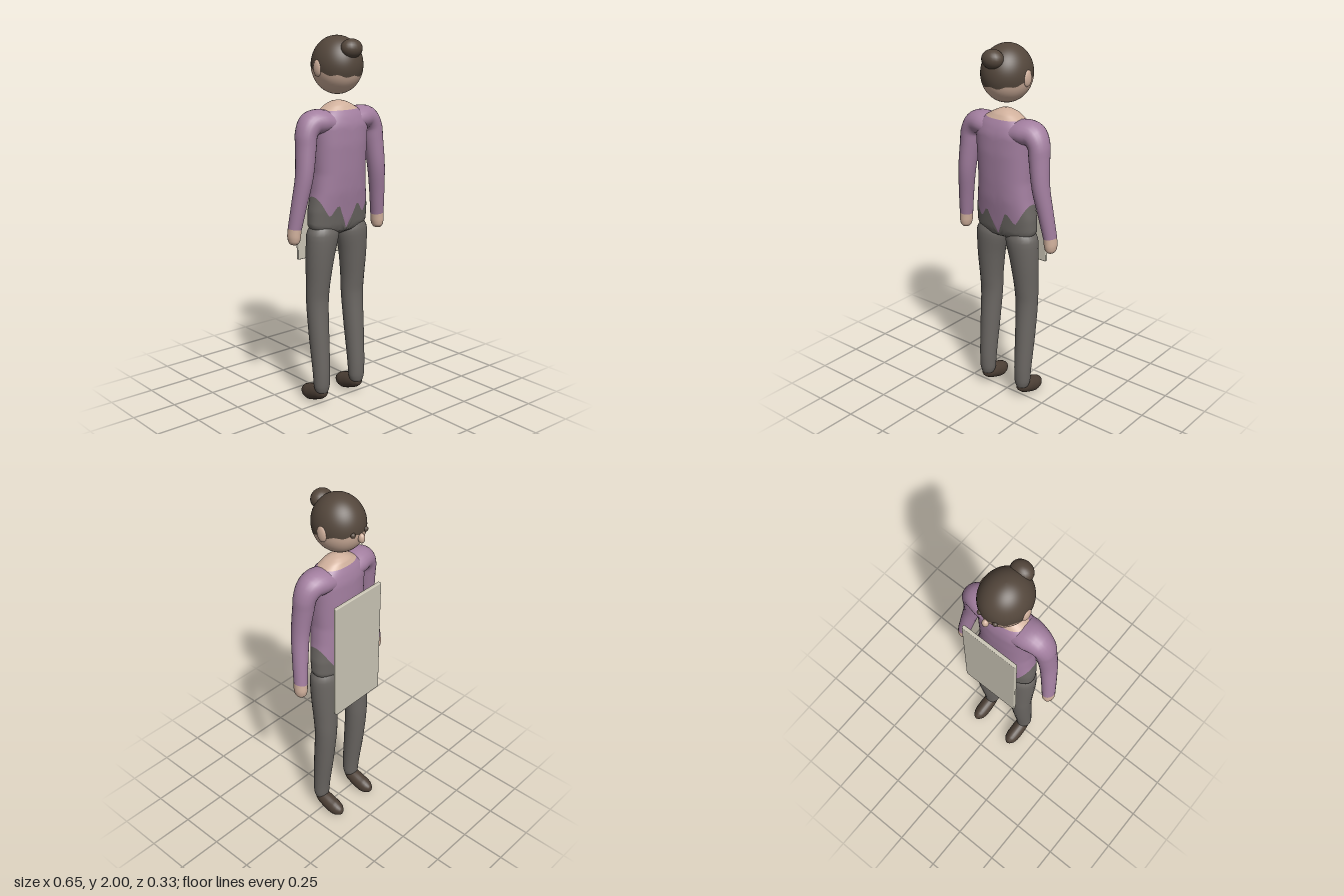
import * as THREE from 'three';
import { RoundedBoxGeometry } from 'three/addons/geometries/RoundedBoxGeometry.js';

const material = (name, color) => Object.assign(new THREE.MeshStandardMaterial({ color, side: THREE.DoubleSide }), { name });

// Linear lookup in rows keyed by their first number
function lookup(rows, k) {
  let i = 0;
  while (i < rows.length - 2 && k > rows[i + 1][0]) i++;
  const t = THREE.MathUtils.clamp((k - rows[i][0]) / (rows[i + 1][0] - rows[i][0]), 0, 1);
  return rows[i].map((v, j) => v + (rows[i + 1][j] - v) * t);
}

// Closed-around surface: point(angle, v) with v from 0 to 1
function surface(point, nu, nv) {
  const pos = [], idx = [];
  for (let j = 0; j <= nv; j++) {
    for (let i = 0; i < nu; i++) pos.push(...point((i / nu) * Math.PI * 2, j / nv));
  }
  for (let j = 0; j < nv; j++) {
    for (let i = 0; i < nu; i++) {
      const a = j * nu + i, b = j * nu + (i + 1) % nu;
      idx.push(a, a + nu, b, b, a + nu, b + nu);
    }
  }
  const g = new THREE.BufferGeometry();
  g.setAttribute('position', new THREE.Float32BufferAttribute(pos, 3));
  g.setIndex(idx);
  g.computeVertexNormals();
  return g;
}

// Limb through sections [x, y, z, radius along axis, radius across axis]
function limb(sections, axis, side, steps = 4) {
  const s = sections.map(([x, ...r]) => [x * side, ...r]);
  const path = new THREE.CatmullRomCurve3(s.map(p => new THREE.Vector3(p[0], p[1], p[2])));
  const radii = new THREE.CatmullRomCurve3(s.map(p => new THREE.Vector3(p[3], p[4], 0)));
  return surface((a, v) => {
    const c = path.getPoint(v), r = radii.getPoint(v);
    const across = axis.clone().cross(path.getTangent(v)).normalize();
    return c.addScaledVector(axis, Math.max(0, r.x) * Math.cos(a))
      .addScaledVector(across, Math.max(0, r.y) * Math.sin(a)).toArray();
  }, 24, (s.length - 1) * steps);
}

const X = new THREE.Vector3(1, 0, 0), Z = new THREE.Vector3(0, 0, 1);

// Torso rows: height, half width, half depth, depth centre
const TORSO = [
  [0.96, 0.02, 0.02, 0], [0.985, 0.16, 0.068, 0], [1.02, 0.185, 0.08, 0], [1.1, 0.184, 0.088, 0.003],
  [1.2, 0.166, 0.097, 0.01], [1.3, 0.156, 0.1, 0.014], [1.45, 0.162, 0.104, 0.016],
  [1.55, 0.17, 0.1, 0.016], [1.6, 0.15, 0.085, 0.014], [1.625, 0.11, 0.07, 0.012],
  [1.65, 0.07, 0.055, 0.01], [1.666, 0.035, 0.03, 0.008], [1.672, 0, 0, 0.008],
];
const soft = c => Math.sign(c) * Math.pow(Math.abs(c), 0.85);
const torso = (low, high) => (a, v) => {
  const y = THREE.MathUtils.lerp(low(a), high(a), v);
  const [, rx, rz, cz] = lookup(TORSO, y);
  return [rx * soft(Math.cos(a)), y, cz + rz * soft(Math.sin(a))];
};
// Zigzag hem, by distance from the middle
const HEM = [[0, 1.0], [0.35, 1.14], [0.6, 1.07], [1, 1.18]];
const hem = a => lookup(HEM, Math.abs(soft(Math.cos(a))))[1];

// Head: one ellipsoid divided along the hairline
const head = (low, high) => (a, v) => {
  const y = THREE.MathUtils.lerp(low(a), high(a), v);
  const k = THREE.MathUtils.clamp((y - 1.85) / 0.15, -1, 1), r = Math.sqrt(1 - k * k);
  return [0.13 * r * Math.cos(a), y, 0.143 * r * Math.sin(a)];
};
const hairline = a => 1.82 - 0.022 * Math.sin(a) + 0.005 * Math.sin(9 * a);
// Even spacing around the poles
const eased = (fn, up) => (a, v) => fn(a, up ? Math.sin(v * Math.PI / 2) : 1 - Math.cos(v * Math.PI / 2));

const ARM = [
  [0.06, 1.555, 0.015, 0.085, 0.06], [0.13, 1.568, 0.015, 0.085, 0.065], [0.185, 1.562, 0.015, 0.074, 0.064],
  [0.219, 1.52, 0.02, 0.064, 0.056], [0.229, 1.45, 0.026, 0.058, 0.053], [0.247, 1.3, 0.034, 0.05, 0.046],
  [0.27, 1.15, 0.018, 0.043, 0.04], [0.287, 1.025, 0.002, 0.039, 0.035],
];
const HAND = [
  [0.287, 1.028, 0.002, 0.038, 0.034], [0.29, 0.99, 0, 0.039, 0.034], [0.291, 0.96, 0, 0.034, 0.029],
  [0.291, 0.945, 0, 0.022, 0.019], [0.291, 0.939, 0, 0, 0],
];
const LEG = [
  [0.095, 1.04, 0, 0.055, 0.05], [0.099, 0.97, 0, 0.093, 0.078], [0.113, 0.85, -0.005, 0.08, 0.074],
  [0.121, 0.7, -0.014, 0.066, 0.066], [0.123, 0.6, -0.018, 0.062, 0.061], [0.125, 0.4, -0.003, 0.055, 0.057],
  [0.125, 0.2, 0.016, 0.048, 0.048], [0.125, 0.12, 0.019, 0.045, 0.043], [0.125, 0.085, 0.018, 0.035, 0.035],
  [0.125, 0.07, 0.015, 0, 0],
];
const SHOE = [
  [0.125, 0.085, 0.052, 0, 0], [0.125, 0.083, 0.043, 0.024, 0.024], [0.125, 0.078, 0.015, 0.037, 0.04],
  [0.125, 0.065, -0.03, 0.041, 0.045], [0.125, 0.05, -0.08, 0.041, 0.046], [0.125, 0.046, -0.115, 0.034, 0.037],
  [0.125, 0.045, -0.138, 0.018, 0.021], [0.125, 0.045, -0.148, 0, 0],
];

export function createModel() {
  const model = new THREE.Group();
  model.name = 'standingPerson';
  const skin = material('skin', 0xd0b09c), hair = material('hair', 0x54473c);
  const shirt = material('shirt', 0xa37fa0), trousers = material('trousers', 0x6b6763);
  const shoes = material('shoes', 0x4d4036), boardColour = material('board', 0xcbc6b6);

  const add = (name, geometry, mat) => {
    const mesh = new THREE.Mesh(geometry, mat);
    mesh.name = name;
    model.add(mesh);
    return mesh;
  };
  const ball = (name, mat, p, r) => {
    const mesh = add(name, new THREE.SphereGeometry(1, 20, 14), mat);
    mesh.position.set(...p);
    mesh.scale.set(...r);
  };

  // Head, hair and bun
  add('face', surface(eased(head(() => 1.7, hairline), false), 72, 14), skin);
  add('hairCap', surface(eased(head(hairline, () => 2), true), 72, 18), hair);
  ball('hairBun', hair, [0, 1.937, 0.113], [0.06, 0.05, 0.051]);
  ball('nose', skin, [0, 1.818, -0.148], [0.017, 0.026, 0.018]);

  // Torso
  add('neck', surface(torso(() => 1.625, () => 1.672), 72, 8), skin);
  add('shirtBody', surface(torso(hem, () => 1.625), 72, 28), shirt);
  add('trouserHips', surface(torso(() => 0.96, hem), 72, 14), trousers);

  // Paired parts
  for (const [label, side] of [['left', 1], ['right', -1]]) {
    ball(label + 'Ear', skin, [0.124 * side, 1.838, -0.006], [0.015, 0.043, 0.03]);
    ball(label + 'Eye', hair, [0.045 * side, 1.845, -0.133], [0.014, 0.014, 0.013]);
    add(label + 'Sleeve', limb(ARM, Z, side), shirt);
    add(label + 'Hand', limb(HAND, Z, side), skin);
    add(label + 'TrouserLeg', limb(LEG, X, side), trousers);
    add(label + 'Shoe', limb(SHOE, X, side), shoes);
  }

  // Board hanging before the chest
  add('board', new RoundedBoxGeometry(0.336, 0.676, 0.02, 2, 0.005), boardColour).position.set(0, 1.147, -0.13);
  return model;
}
